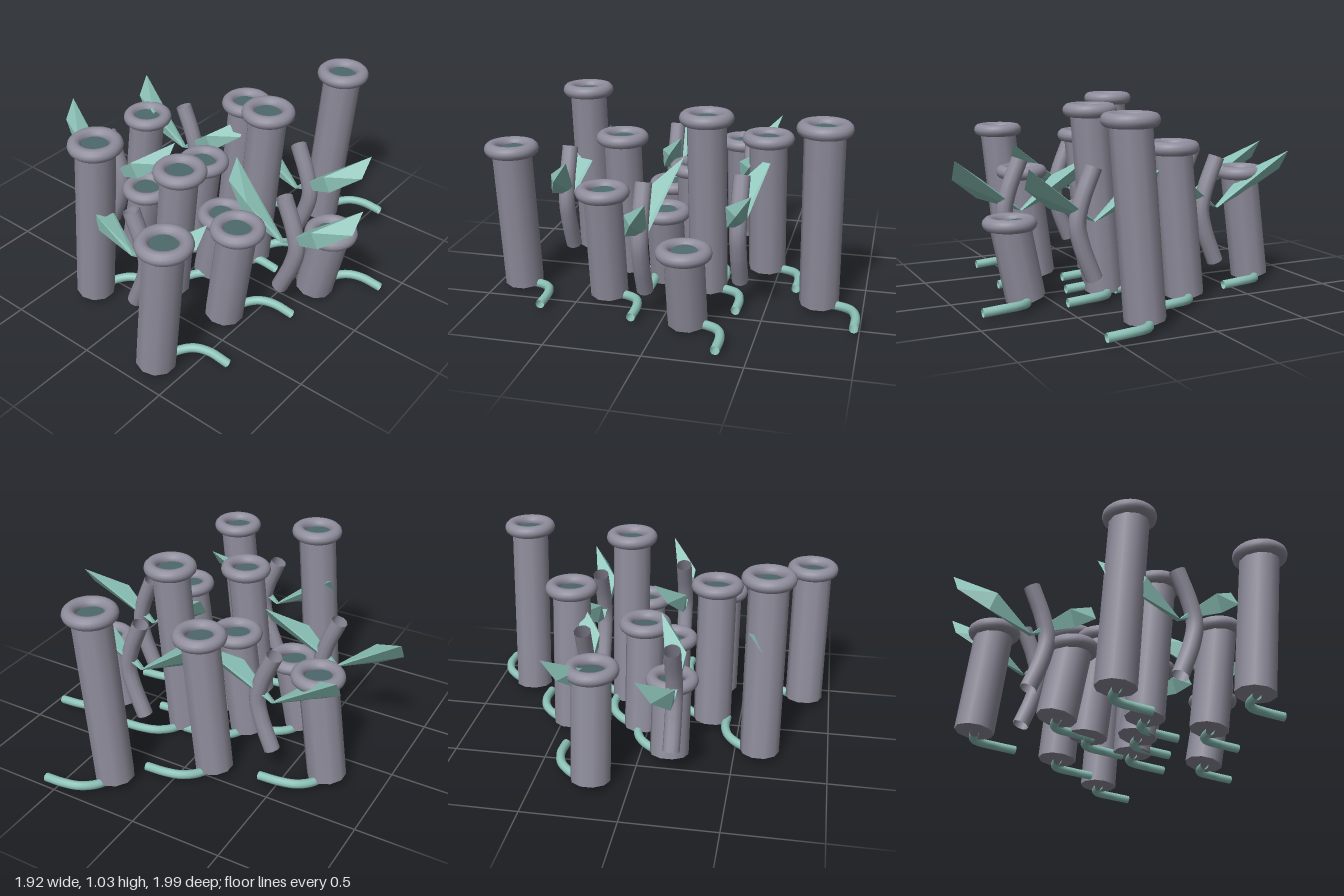
import * as THREE from 'three';
import { ConvexGeometry } from 'three/addons/geometries/ConvexGeometry.js';

const V = (x, y, z) => new THREE.Vector3(x, y, z);

export function createModel() {
  const model = new THREE.Group();
  model.name = 'tubeCluster';

  const mat = (name, color, side = THREE.FrontSide) => {
    const m = new THREE.MeshStandardMaterial({ color, side });
    m.name = name;
    return m;
  };
  const grey = mat('mauveGrey', 0x8f8d9c, THREE.DoubleSide);
  const teal = mat('paleTeal', 0x8cc2b8, THREE.DoubleSide);
  const dark = mat('deepTeal', 0x4d686b);

  const add = (parent, name, geometry, material) => {
    const mesh = new THREE.Mesh(geometry, material);
    mesh.name = name;
    parent.add(mesh);
    return mesh;
  };
  const tube = (points, radius, segments, sides) =>
    new THREE.TubeGeometry(new THREE.CatmullRomCurve3(points), segments, radius, sides, false);

  // Leaning tubes: rim x, rim z, rim height
  const tubes = [
    [0.345, -0.77, 1.0], [0.275, -0.16, 1.0], [-0.205, 0.635, 1.0],
    [-0.065, -0.43, 0.815], [0.095, 0.345, 0.815], [0.43, 0.85, 0.815],
    [-0.625, -0.2, 0.625], [-0.055, -0.027, 0.625], [0.47, 0.345, 0.625],
    [0.72, -0.145, 0.435], [-0.31, 0.16, 0.435], [0.18, 0.09, 0.435],
  ];
  const lean = 0.08, foot = 0.035;
  const rimGeometry = new THREE.TorusGeometry(0.106, 0.036, 12, 32).rotateX(Math.PI / 2);
  const rootGeometry = tube([
    V(-lean, 0.026, 0.01), V(-0.05, 0.034, -0.1), V(0.015, 0.046, -0.175),
    V(0.1, 0.05, -0.203), V(0.22, 0.042, -0.203),
  ], 0.024, 20, 10);

  for (const [x, z, h] of tubes) {
    const group = new THREE.Group();
    group.name = 'leaningTube';
    group.position.set(x, 0, z);
    const rise = h - foot;
    // side, dark mouth at the top, bottom
    const wall = add(group, 'tubeWall',
      new THREE.CylinderGeometry(0.105, 0.105, Math.hypot(rise, lean), 10), [grey, dark, grey]);
    wall.position.set(-lean / 2, foot + rise / 2, 0);
    wall.rotation.z = -Math.atan2(lean, rise);
    add(group, 'rim', rimGeometry, grey).position.y = h;
    add(group, 'root', rootGeometry, teal);
    model.add(group);
  }

  // Bent stalks, each with a mirrored pair of folded leaves
  const stalkGeometry = tube([
    V(0, 0.15, 0), V(0.068, 0.325, 0), V(0.092, 0.443, 0), V(0.068, 0.56, 0), V(0, 0.73, 0),
  ], 0.045, 20, 10);
  const leaf = (side) => new ConvexGeometry([
    V(0, 0.45, -0.015), V(0, 0.45, 0.015), V(0.02 * side, 0.475, 0),
    V(0.2 * side, 0.625, 0.045), V(0.235 * side, 0.53, 0.03),
    V(0.392 * side, 0.755, -0.115), V(0.387 * side, 0.647, -0.04),
  ]);
  const leaves = [['leftLeaf', leaf(1)], ['rightLeaf', leaf(-1)]];

  const stalks = [[-0.42, -0.29], [0.345, -0.36], [0.572, 0.095], [-0.56, 0.195], [0.047, 0.665]];
  for (const [x, z] of stalks) {
    const group = new THREE.Group();
    group.name = 'leafyStalk';
    group.position.set(x, 0, z);
    add(group, 'stalk', stalkGeometry, grey);
    for (const [name, geometry] of leaves) add(group, name, geometry, teal);
    model.add(group);
  }
  return model;
}
